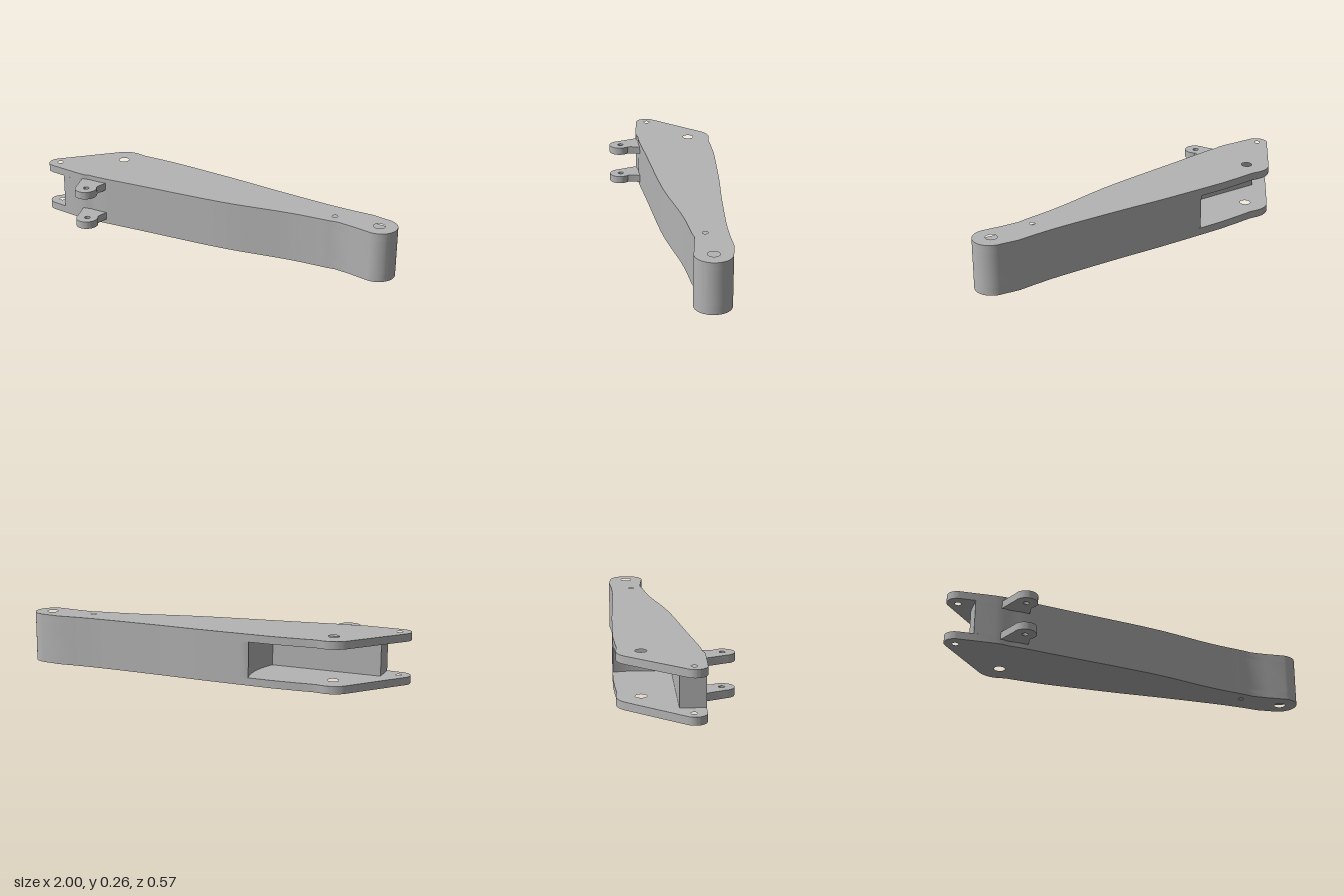
import * as THREE from 'three';
import { toCreasedNormals } from 'three/addons/utils/BufferGeometryUtils.js';

const HEIGHT = 0.262, PLATE = 0.04;
const V = (x, z) => new THREE.Vector2(x, z);
const pts = (list) => list.map(([x, z]) => V(x, z));
const smooth = (list, n = 32) => new THREE.SplineCurve(pts(list)).getPoints(n);

// Points on a circle in plan (x, z), from angle a to angle b in degrees
function arc(cx, cz, r, a, b, n = 20) {
  return Array.from({ length: n + 1 }, (_, i) => {
    const t = THREE.MathUtils.degToRad(a + ((b - a) * i) / n);
    return V(cx + r * Math.cos(t), cz + r * Math.sin(t));
  });
}

// Extrude a plan outline upward from y0 to y1, with round holes [x, z, r]
function slab(outline, holes, y0, y1) {
  const flip = (list) => list.map((p) => V(p.x, -p.y));
  const shape = new THREE.Shape(flip(outline));
  for (const [x, z, r] of holes) {
    shape.holes.push(new THREE.Path(flip(arc(x, z, r, 0, 360, 24).slice(0, -1))));
  }
  const geo = new THREE.ExtrudeGeometry(shape, { depth: y1 - y0, bevelEnabled: false });
  geo.rotateX(-Math.PI / 2).translate(0, y0, 0);
  return toCreasedNormals(geo, 0.45);
}

export function createModel() {
  const group = new THREE.Group();
  const metal = new THREE.MeshStandardMaterial({ color: 0xb4b4b4 });
  metal.name = 'grey metal';
  const add = (name, geo) => {
    const mesh = new THREE.Mesh(geo, metal);
    mesh.name = name;
    group.add(mesh);
  };

  // Shared edges of the arm
  const back = smooth([[-0.27, -0.286], [0, -0.279], [0.25, -0.267], [0.57, -0.258], [0.72, -0.261]]);
  const tip = [...pts([[0.82, -0.268]]), ...arc(0.908, -0.165, 0.092, -80, 92, 28)];
  const front = [
    ...pts([[0.8, -0.086], [0.715, -0.092]]),
    ...smooth([[0.67, -0.083], [0.46, -0.054], [0.19, 0.006], [0, 0.038], [-0.34, 0.081], [-0.58, 0.113]]),
    ...pts([[-0.64, 0.12], [-0.69, 0.121], [-0.715, 0.13], [-0.76, 0.131]]),
  ];

  const tipHole = [0.908, -0.165, 0.029];
  const pinHole = [0.67, -0.147, 0.014];
  const pivotHole = [-0.67, -0.165, 0.028];
  const endHole = [-0.942, 0.06, 0.015];

  // Bottom and top plates with the full outline
  const plate = [
    ...arc(-0.942, 0.064, 0.058, 95, 221, 16),
    ...arc(-0.67, -0.165, 0.119, 221, 282, 14),
    ...pts([[-0.61, -0.277], [-0.52, -0.283], [-0.4, -0.288]]),
    ...back, ...tip, ...front,
  ];
  const holes = [tipHole, pinHole, pivotHole, endHole];
  add('bottomPlate', slab(plate, holes, 0, PLATE));
  add('topPlate', slab(plate, holes, HEIGHT - PLATE, HEIGHT));

  // Core between the plates, with a pocket rounded about the pivot
  const core = [
    ...pts([[-0.865, 0]]),
    ...arc(-0.67, -0.165, 0.42, 24.5, -16),
    ...back.slice(1), ...tip, ...front,
    ...pts([[-0.865, 0.126]]),
  ];
  add('core', slab(core, [tipHole, pinHole], PLATE, HEIGHT - PLATE));

  // Pair of lugs on the front edge
  const lug = [
    ...pts([[-0.62, 0.09], [-0.71, 0.11], [-0.732, 0.129]]),
    ...arc(-0.63, 0.225, 0.058, 170, -48, 28),
    ...pts([[-0.592, 0.165], [-0.585, 0.11]]),
  ];
  for (const [name, y] of [['lowerLug', 0.025], ['upperLug', 0.197]]) {
    add(name, slab(lug, [[-0.63, 0.222, 0.015]], y, y + 0.04));
  }
  return group;
}
